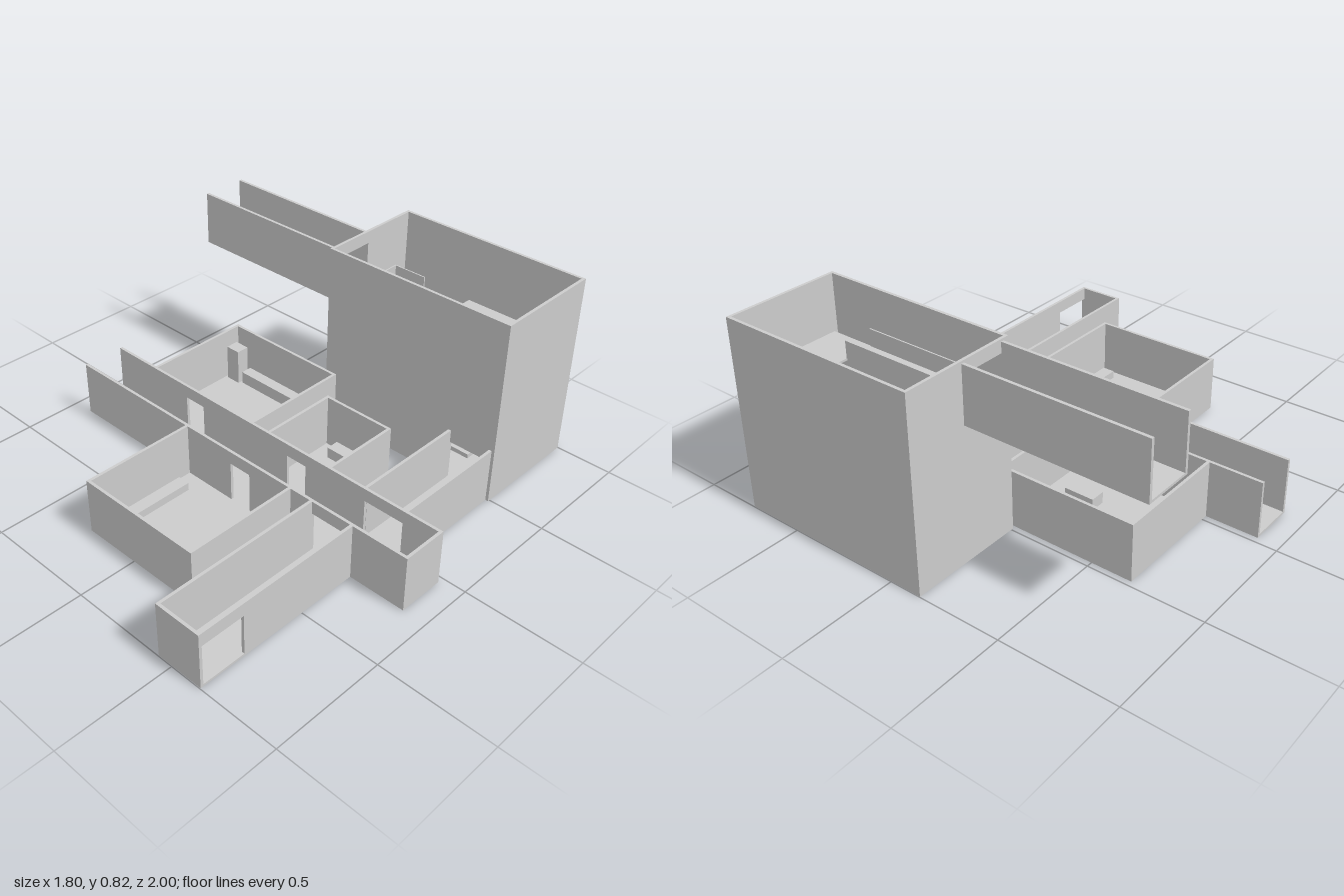
import * as THREE from 'three';

const T = 0.013; // wall thickness
const F = 0.01;  // floor thickness
const H = 0.247; // height of the low walls

export function createModel() {
  const model = new THREE.Group();
  model.name = 'floorPlan';
  const plaster = new THREE.MeshStandardMaterial({ color: 0xcccccc });
  plaster.name = 'plaster grey';

  // Box given by its limits on each axis
  function block(parent, name, x0, x1, y0, y1, z0, z1) {
    const mesh = new THREE.Mesh(new THREE.BoxGeometry(x1 - x0, y1 - y0, z1 - z0), plaster);
    mesh.position.set((x0 + x1) / 2, (y0 + y1) / 2, (z0 + z1) / 2);
    mesh.name = name;
    parent.add(mesh);
  }

  // Straight wall along 'x' or 'z', starting at depth d, with doors [from, to, bottom, top]
  function wall(parent, name, axis, a, b, d, y0, y1, doors = []) {
    const piece = (p, q, lo, hi) => {
      if (q - p < 1e-4 || hi - lo < 1e-4) return;
      if (axis === 'x') block(parent, name, p, q, lo, hi, d, d + T);
      else block(parent, name, d, d + T, lo, hi, p, q);
    };
    let at = a;
    for (const [from, to, bottom, top] of doors) {
      piece(at, from, y0, y1);
      piece(from, to, y0, bottom);
      piece(from, to, top, y1);
      at = to;
    }
    piece(at, b, y0, y1);
  }

  // Roofless room; each listed side gets a wall with its doors
  function room(name, x0, x1, z0, z1, sides, y0 = 0, y1 = H) {
    const g = new THREE.Group();
    g.name = name;
    model.add(g);
    block(g, 'floor', x0, x1, y0, y0 + F, z0, z1);
    const lo = y0 + F;
    if (sides.back) wall(g, 'backWall', 'x', x0, x1, z0, lo, y1, sides.back);
    if (sides.front) wall(g, 'frontWall', 'x', x0, x1, z1 - T, lo, y1, sides.front);
    const za = sides.back ? z0 + T : z0, zb = sides.front ? z1 - T : z1;
    if (sides.right) wall(g, 'rightWall', 'z', za, zb, x0, lo, y1, sides.right);
    if (sides.left) wall(g, 'leftWall', 'z', za, zb, x1 - T, lo, y1, sides.left);
    return g;
  }
  const door = (from, to) => [from, to, F, 0.19];

  // Corridors
  room('mainCorridor', -0.905, 0.897, 0.028, 0.235, {
    back: [door(-0.465, -0.36), door(0.13, 0.23), door(0.537, 0.722)],
    front: [door(0.005, 0.11), door(0.443, 0.63)],
    left: [],
  });
  room('frontCorridor', 0.43, 0.643, 0.235, 0.997, { front: [], right: [], left: [door(0.79, 0.984)] });
  room('backCorridor', 0.525, 0.737, -0.49, 0.028, { right: [], left: [] });
  room('upperCorridor', -0.905, -0.14, -0.732, -0.515, { back: [], front: [] }, 0.575, 0.815);

  // Low rooms and their furniture
  const study = room('studyRoom', -0.677, -0.07, -0.475, 0.028, { back: [], right: [], left: [] });
  block(study, 'cabinet', -0.652, -0.582, F, 0.177, -0.44, -0.38);
  block(study, 'shelf', -0.572, -0.217, F, 0.067, -0.447, -0.395);
  block(study, 'table', -0.317, -0.182, F, 0.06, -0.222, -0.155);
  for (const x of [-0.313, -0.23]) block(study, 'stool', x, x + 0.044, F, 0.04, -0.266, -0.225);

  const small = room('smallRoom', 0.013, 0.357, -0.33, 0.028, { back: [], right: [], left: [] });
  block(small, 'chest', 0.095, 0.27, F, 0.06, -0.303, -0.245);

  const hall = room('frontHall', -0.257, 0.332, 0.235, 0.745, { front: [], right: [], left: [] });
  for (const x of [-0.219, 0.236]) block(hall, 'bench', x, x + 0.056, F, 0.045, 0.315, 0.687);

  // Tower with doors to the upper and back corridors
  const tower = room('tower', -0.14, 0.75, -0.998, -0.49, {
    back: [], left: [],
    front: [door(0.537, 0.722)],
    right: [[-0.719, -0.528, 0.585, 0.77]],
  }, 0, 0.825);

  // Gallery inside the tower, with rails and landings
  const top = 0.585, mid = 0.3;
  block(tower, 'gallery', -0.127, 0.525, top - F, top, -0.65, -0.525);
  block(tower, 'upperLanding', 0.525, 0.73, top - F, top, -0.9, -0.525);
  block(tower, 'upperLanding', 0.285, 0.525, top - F, top, -0.9, -0.725);
  for (const z of [-0.653, -0.528]) block(tower, 'galleryRail', -0.127, 0.525, top, 0.66, z, z + 0.006);
  block(tower, 'middleLanding', -0.11, 0.05, mid - F, mid, -0.9, -0.653);
  block(tower, 'landingRail', -0.11, 0.05, mid, 0.605, -0.9, -0.894);
  block(tower, 'landingRail', -0.113, -0.107, mid, 0.605, -0.9, -0.653);

  // Ramp along x between two heights
  function ramp(x0, y0, x1, y1, z0, z1) {
    const s = new THREE.Shape([[x0, y0 - 0.02], [x1, y1 - 0.02], [x1, y1], [x0, y0]].map(p => new THREE.Vector2(...p)));
    const mesh = new THREE.Mesh(new THREE.ExtrudeGeometry(s, { depth: z1 - z0, bevelEnabled: false }), plaster);
    mesh.position.z = z0;
    mesh.name = 'ramp';
    tower.add(mesh);
  }
  ramp(0.05, mid, 0.285, top, -0.885, -0.745);
  ramp(0.05, mid, 0.285, 0.03, -0.745, -0.655);
  block(tower, 'lowerLanding', 0.285, 0.525, F, 0.03, -0.725, -0.653);

  return model;
}
